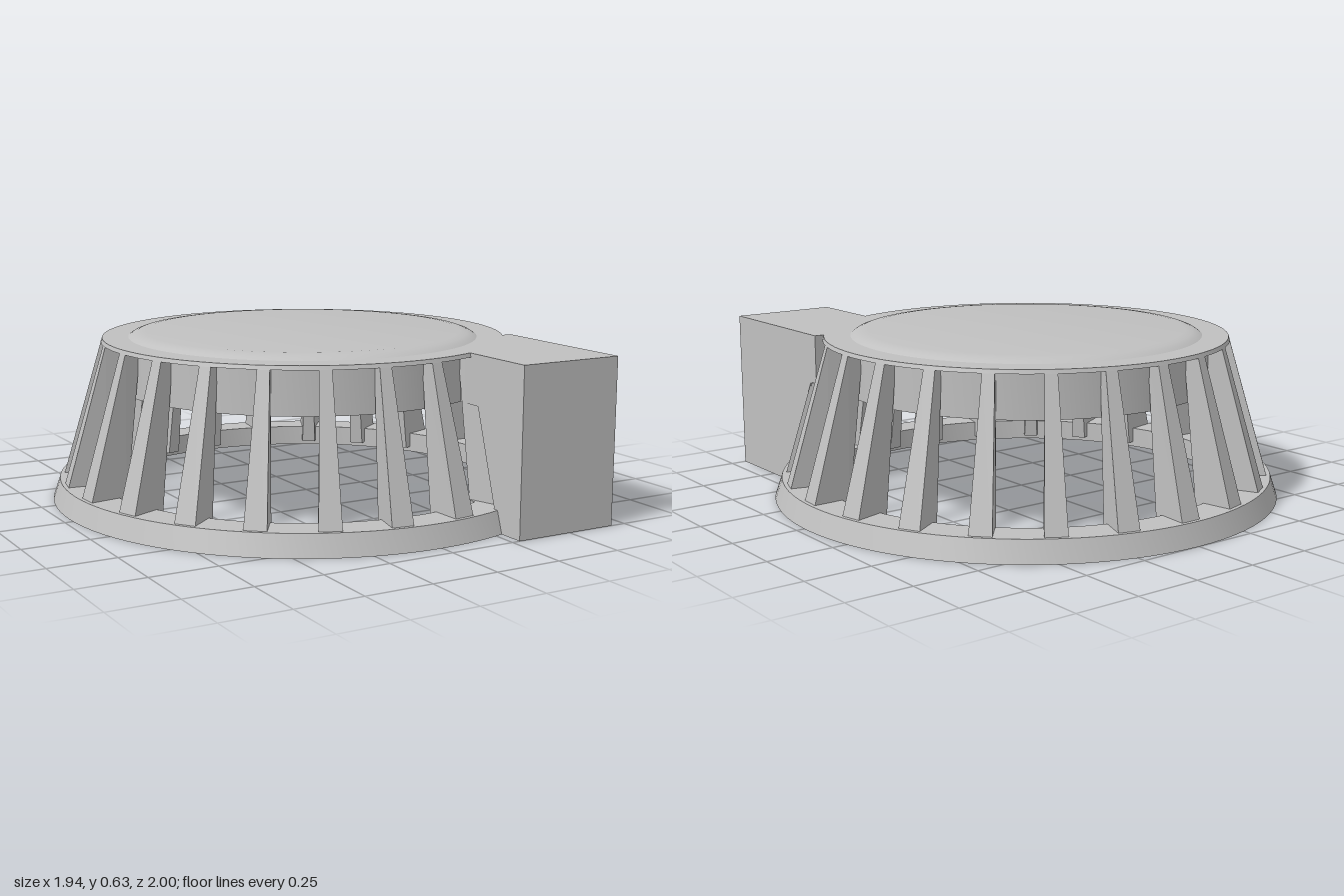
import * as THREE from 'three';
import { toCreasedNormals } from 'three/addons/utils/BufferGeometryUtils.js';

const CZ = -0.03; // axis of the round body
const RIBS = 23;

// Solid of revolution from a profile running up the outside and down the inside
function turned(points) {
  const geo = new THREE.LatheGeometry(points.map(([r, y]) => new THREE.Vector2(r, y)), 96);
  return toCreasedNormals(geo, 0.5);
}

// Solid lofted through levels { y, pts }, pts being [x, z] clockwise from above
function loft(levels) {
  const out = [];
  const put = (level, k) => out.push(level.pts[k][0], level.y, level.pts[k][1]);
  const n = levels[0].pts.length;
  for (let l = 0; l < levels.length - 1; l++) {
    const lo = levels[l], hi = levels[l + 1];
    for (let a = 0; a < n; a++) {
      const b = (a + 1) % n;
      put(lo, a); put(hi, a); put(hi, b);
      put(lo, a); put(hi, b); put(lo, b);
    }
  }
  const cap = (level, up) => {
    const p = level.pts;
    const tris = THREE.ShapeUtils.triangulateShape(p.map(([x, z]) => new THREE.Vector2(x, z)), []);
    for (const [a, b, c] of tris) {
      const ny = (p[b][1] - p[a][1]) * (p[c][0] - p[a][0]) - (p[b][0] - p[a][0]) * (p[c][1] - p[a][1]);
      const order = (ny > 0) === up ? [a, b, c] : [a, c, b];
      order.forEach((k) => put(level, k));
    }
  };
  cap(levels[0], false);
  cap(levels[levels.length - 1], true);
  const geo = new THREE.BufferGeometry();
  geo.setAttribute('position', new THREE.Float32BufferAttribute(out, 3));
  geo.computeVertexNormals();
  return geo;
}

export function createModel() {
  const model = new THREE.Group();
  model.name = 'slottedCover';
  const grey = new THREE.MeshStandardMaterial({ color: 0xc0c0c0 });
  grey.name = 'light grey';

  const add = (name, geo, parent) => {
    const mesh = new THREE.Mesh(geo, grey);
    mesh.name = name;
    parent.add(mesh);
    return mesh;
  };

  const body = new THREE.Group();
  body.name = 'roundBody';
  body.position.z = CZ;
  model.add(body);

  // Tapered ring at the foot
  add('baseRing', turned([[0.815, 0], [0.97, 0], [0.943, 0.08], [0.815, 0.08], [0.815, 0]]), body);

  // Drum with a thin overhanging lid and a softly raised centre
  add('lidAndDrum', turned([
    [0, 0.585], [0.69, 0.585], [0.69, 0.43], [0.72, 0.43], [0.72, 0.6], [0.775, 0.6], [0.77, 0.615],
    [0.67, 0.615], [0.655, 0.624], [0.635, 0.631], [0.605, 0.635], [0, 0.635],
  ]), body);

  // Hollow boss under the lid
  add('centreBoss', turned([[0.1, 0.545], [0.13, 0.545], [0.13, 0.59], [0.1, 0.59], [0.1, 0.545]]), body);

  // Leaning wedge ribs, narrower at the top and towards the axis
  const ribSection = (y, rIn, rOut, wIn, wOut) => ({
    y, pts: [[-wOut, -rOut], [wOut, -rOut], [wIn, -rIn], [-wIn, -rIn]],
  });
  const ribGeo = loft([
    ribSection(0.02, 0.785, 0.945, 0.027, 0.043),
    ribSection(0.61, 0.71, 0.771, 0.014, 0.022),
  ]);
  const ribs = new THREE.Group();
  ribs.name = 'ribs';
  body.add(ribs);
  for (let i = 0; i < RIBS; i++) {
    add('rib', ribGeo, ribs).rotation.y = (i / RIBS) * Math.PI * 2;
  }

  // Square housing at the front, its inner side hollowed round the axis
  const X0 = 0.28, X1 = 0.69, STEPS = 16;
  const housingSection = ([y, r]) => {
    const pts = [];
    for (let i = 0; i <= STEPS; i++) {
      const x = X0 + ((X1 - X0) * i) / STEPS;
      pts.push([x, Math.max(0.38, Math.sqrt(Math.max(0, r * r - x * x)) + CZ)]);
    }
    pts.push([X1, 1], [X0, 1]);
    return { y, pts };
  };
  add('housing', loft([
    [0, 0.76], [0.08, 0.76], [0.08, 0.925], [0.43, 0.82], [0.43, 0.7], [0.615, 0.7],
  ].map(housingSection)), model);

  return model;
}
